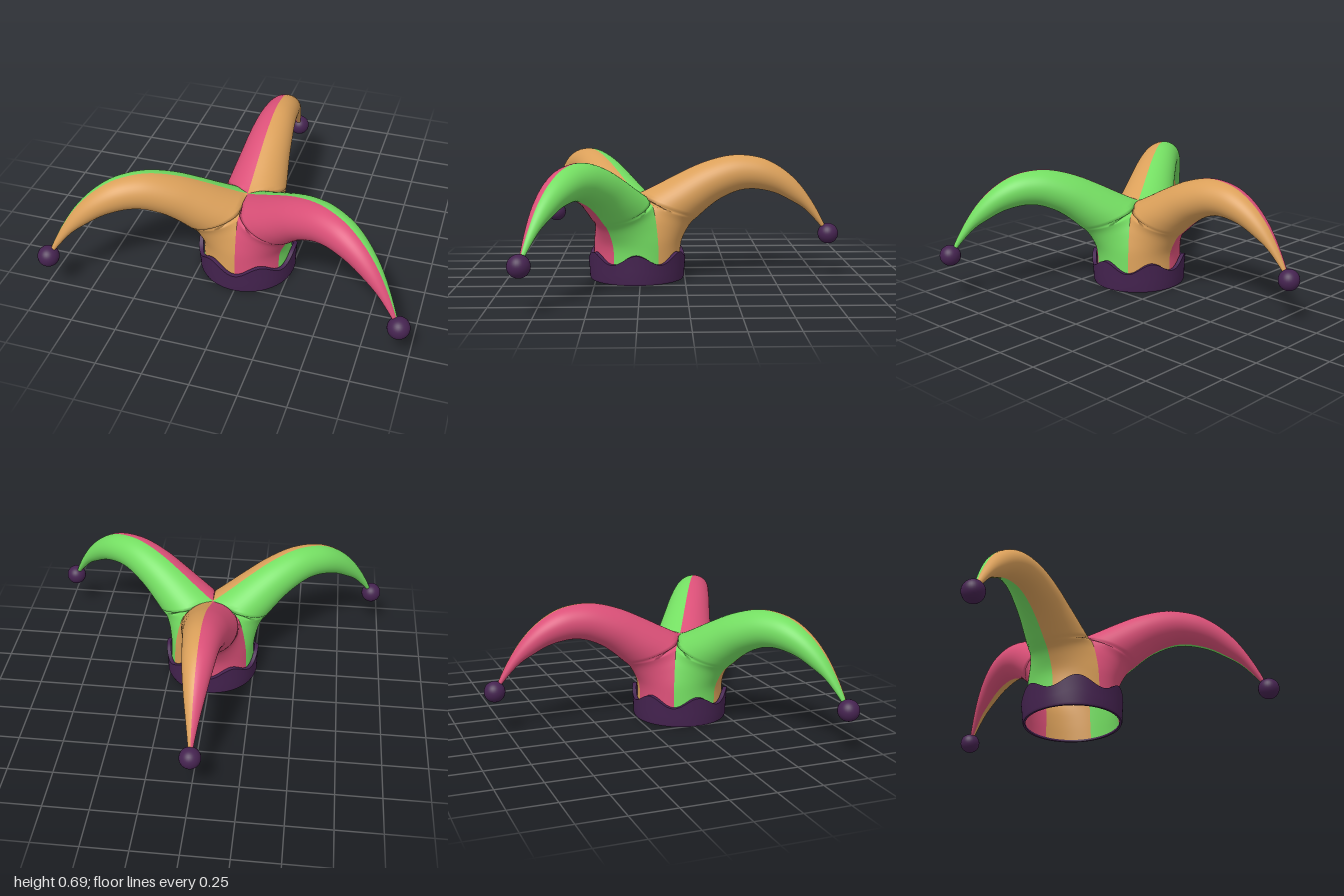
import * as THREE from 'three';

const mat = (name, color, side = THREE.FrontSide) => {
  const m = new THREE.MeshStandardMaterial({ color, side });
  m.name = name;
  return m;
};

const WEDGE = Math.sqrt(3); // each horn fills a 120 degree sector of the cap

// Horn sections: top radius, top y, bottom radius, bottom y, half width
const SECTIONS = [
  [-0.25, 0.01, 0.25, 0.01, 0.25],
  [-0.245, 0.11, 0.245, 0.1, 0.245],
  [-0.24, 0.28, 0.25, 0.2, 0.235],
  [-0.2, 0.42, 0.28, 0.27, 0.2],
  [-0.1, 0.46, 0.31, 0.315, 0.172],
  [0, 0.475, 0.35, 0.35, 0.162],
  [0.1, 0.52, 0.4, 0.395, 0.15],
  [0.22, 0.582, 0.46, 0.44, 0.135],
  [0.36, 0.647, 0.52, 0.472, 0.122],
  [0.5, 0.688, 0.585, 0.495, 0.108],
  [0.6, 0.694, 0.65, 0.502, 0.098],
  [0.72, 0.672, 0.715, 0.495, 0.088],
  [0.83, 0.612, 0.79, 0.475, 0.073],
  [0.92, 0.53, 0.87, 0.435, 0.056],
  [0.99, 0.435, 0.945, 0.39, 0.038],
  [1.05, 0.33, 1.02, 0.315, 0.02],
  [1.08, 0.265, 1.065, 0.26, 0.01],
];

// Quads between successive rows of points, optionally limited to a column range
function addQuads(index, rows, cols, from, to) {
  for (let i = 0; i < rows - 1; i++) {
    for (let j = from; j < to; j++) {
      const a = i * cols + j, b = a + cols;
      index.push(a, b, a + 1, b, b + 1, a + 1);
    }
  }
}

// Horn curving out along +z, with its share of the cap; group 0 is the +x half
function hornGeometry() {
  const N = 48, STEPS = 4;
  const topCurve = new THREE.CatmullRomCurve3(SECTIONS.map(s => new THREE.Vector3(s[0], s[1], s[4])));
  const lowCurve = new THREE.CatmullRomCurve3(SECTIONS.map(s => new THREE.Vector3(s[2], s[3], 0)));
  const rows = (SECTIONS.length - 1) * STEPS + 1;
  const pos = [], closed = [];
  for (let i = 0; i < rows; i++) {
    const T = topCurve.getPoint(i / (rows - 1)), B = lowCurve.getPoint(i / (rows - 1));
    const w = T.z;
    const radius = p => (T.x + B.x) / 2 + (T.x - B.x) / 2 * Math.cos(p);
    const isClosed = T.x > -1e-6;
    // Open sections begin where they meet the neighbouring horn
    let start = 0;
    if (!isClosed) {
      let lo = 0, hi = Math.PI;
      for (let p = Math.PI; p > 0; p -= 0.02) {
        if (w * Math.sin(p) > WEDGE * radius(p)) { lo = p; break; }
        hi = p;
      }
      for (let k = 0; k < 30; k++) {
        const m = (lo + hi) / 2;
        if (w * Math.sin(m) > WEDGE * radius(m)) lo = m; else hi = m;
      }
      start = hi;
    }
    closed.push(isClosed);
    for (let j = 0; j <= N; j++) {
      const p = start + (2 * Math.PI - 2 * start) * j / N;
      const r = Math.max(0, radius(p)), lim = r * WEDGE;
      const y = (T.y + B.y) / 2 + (T.y - B.y) / 2 * Math.cos(p);
      pos.push(THREE.MathUtils.clamp(w * Math.sin(p), -lim, lim), y, r);
    }
  }
  const index = [];
  addQuads(index, rows, N + 1, 0, N / 2);
  const half = index.length;
  addQuads(index, rows, N + 1, N / 2, N);
  const g = new THREE.BufferGeometry();
  g.setAttribute('position', new THREE.Float32BufferAttribute(pos, 3));
  g.setIndex(index);
  g.addGroup(0, half, 0);
  g.addGroup(half, index.length - half, 1);
  g.computeVertexNormals();
  // Smooth the seam running along the top of the horn
  const n = g.attributes.normal;
  for (let i = 0; i < rows; i++) {
    if (!closed[i]) continue;
    for (const k of [i * (N + 1), i * (N + 1) + N]) {
      const l = Math.hypot(n.getY(k), n.getZ(k)) || 1;
      n.setXYZ(k, 0, n.getY(k) / l, n.getZ(k) / l);
    }
  }
  return g;
}

// Wavy headband: a thin wall whose upper edge has six scallops
function brimGeometry() {
  const N = 144, pos = [], index = [];
  const ring = (r, yAt) => {
    for (let j = 0; j <= N; j++) {
      const a = j / N * Math.PI * 2;
      pos.push(r * Math.sin(a), yAt(a), r * Math.cos(a));
    }
  };
  const wave = a => 0.138 - 0.028 * Math.cos(6 * a);
  // Each strip has its own rings so that the edges stay sharp
  const strips = [
    [[0.251, wave], [0.251, () => 0]],
    [[0.251, () => 0], [0.262, () => 0]],
    [[0.262, () => 0], [0.267, () => 0.012], [0.269, a => wave(a) * 0.5], [0.274, wave]],
    [[0.274, wave], [0.251, wave]],
  ];
  for (const strip of strips) {
    const base = pos.length / 3, local = [];
    strip.forEach(([r, y]) => ring(r, y));
    addQuads(local, strip.length, N + 1, 0, N);
    // Rows run anticlockwise around the wall's cross-section, so flip to face out
    for (let k = 0; k < local.length; k += 3) {
      index.push(base + local[k], base + local[k + 2], base + local[k + 1]);
    }
  }
  const g = new THREE.BufferGeometry();
  g.setAttribute('position', new THREE.Float32BufferAttribute(pos, 3));
  g.setIndex(index);
  g.computeVertexNormals();
  return g;
}

export function createModel() {
  const pink = mat('pink cloth', 0xdb5078, THREE.DoubleSide);
  const orange = mat('orange cloth', 0xdba05a, THREE.DoubleSide);
  const green = mat('green cloth', 0x74de62, THREE.DoubleSide);
  const purple = mat('dark purple trim', 0x452350, THREE.DoubleSide);

  const model = new THREE.Group();
  model.name = 'jesterHat';
  const hat = new THREE.Group();
  hat.name = 'hat';
  hat.position.z = 0.27;
  model.add(hat);

  const brim = new THREE.Mesh(brimGeometry(), purple);
  brim.name = 'brim';
  hat.add(brim);

  // Three two-coloured horns, each ending in a ball
  const hornGeo = hornGeometry();
  const ballGeo = new THREE.SphereGeometry(0.058, 32, 20);
  const horns = [
    ['leftHorn', 60, [green, pink]],
    ['rightHorn', -60, [orange, green]],
    ['backHorn', 180, [pink, orange]],
  ];
  for (const [name, angle, colours] of horns) {
    const horn = new THREE.Group();
    horn.name = name;
    horn.rotation.y = THREE.MathUtils.degToRad(angle);
    const cloth = new THREE.Mesh(hornGeo, colours);
    cloth.name = name + 'Cloth';
    const ball = new THREE.Mesh(ballGeo, purple);
    ball.name = name + 'Ball';
    ball.position.set(0, 0.245, 1.087);
    horn.add(cloth, ball);
    hat.add(horn);
  }
  return model;
}
